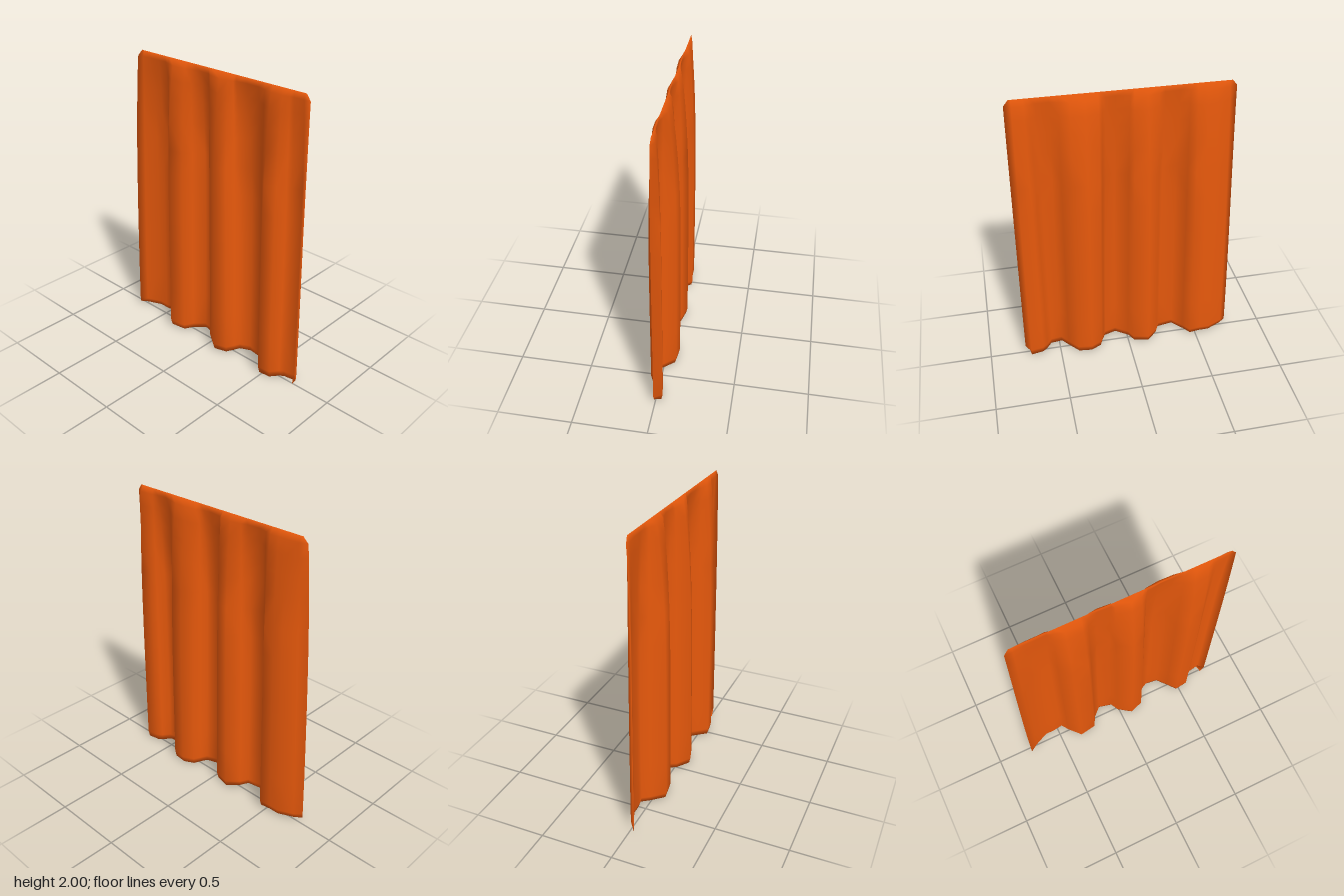
import * as THREE from 'three';
import { mergeVertices } from 'three/addons/utils/BufferGeometryUtils.js';

// Fold line across the curtain: [x at the hem, z at the hem, x at the top]
const folds = [
  [-0.75, 0.035, -0.68], [-0.70, 0, -0.63], [-0.60, -0.045, -0.55], [-0.53, -0.045, -0.49],
  [-0.46, -0.055, -0.43], [-0.42, 0, -0.39], [-0.35, 0.078, -0.33], [-0.24, 0.06, -0.23],
  [-0.21, 0, -0.19], [-0.14, -0.066, -0.12], [-0.04, -0.042, -0.04], [-0.01, 0.015, -0.02],
  [0.08, 0.078, 0.07], [0.165, 0.05, 0.13], [0.19, 0, 0.16], [0.21, -0.045, 0.18],
  [0.28, -0.08, 0.26], [0.37, -0.07, 0.35], [0.43, 0, 0.41], [0.48, 0.062, 0.47],
  [0.56, 0.052, 0.55], [0.60, 0, 0.59], [0.63, -0.022, 0.62], [0.71, -0.036, 0.69],
  [0.75, 0.01, 0.735],
];
// Heights with the depth of the folds there
const rows = [
  [0, 1], [0.05, 1], [0.3, 1], [0.6, 1], [0.9, 0.99], [1.2, 0.95], [1.4, 0.87],
  [1.6, 0.73], [1.75, 0.58], [1.87, 0.42], [1.96, 0.24], [2, 0],
];
const nx = folds.length - 1, ny = rows.length - 1;
const halfThickness = 0.01;

function centre(i, j) {
  const [x0, z, x1] = folds[i];
  const [y, depth] = rows[j];
  return new THREE.Vector3(x0 + (x1 - x0) * Math.pow(y / 2, 1.3), y, z * depth);
}

// One side of the cloth (+1 front, -1 back), pinched to nothing along the border
function point(side, i, j) {
  const p = centre(i, j);
  const border = i === 0 || j === 0 || i === nx || j === ny;
  if (!border) {
    const a = centre(i - 1, j), b = centre(i + 1, j);
    const len = Math.hypot(b.x - a.x, b.z - a.z);
    p.x -= side * halfThickness * (b.z - a.z) / len;
    p.z += side * halfThickness * (b.x - a.x) / len;
  }
  // slightly slanted hem and clipped corners
  if (j === 0) p.y = 0.008 - 0.01 * p.x;
  if (i === 0 && j === ny) p.x += 0.03;
  if (i === nx && (j === ny || j === 0)) p.x -= 0.03;
  return p;
}

function clothGeometry() {
  const positions = [], index = [];
  for (const side of [1, -1]) {
    const base = positions.length / 3;
    for (let j = 0; j <= ny; j++)
      for (let i = 0; i <= nx; i++) positions.push(...point(side, i, j).toArray());
    for (let j = 0; j < ny; j++) {
      for (let i = 0; i < nx; i++) {
        const a = base + j * (nx + 1) + i, b = a + 1, d = a + nx + 1, c = d + 1;
        // diagonals run from the corners towards the middle
        const tris = (i < nx / 2) === (j < ny / 2)
          ? [a, b, c, a, c, d] : [a, b, d, b, c, d];
        index.push(...(side > 0 ? tris : tris.reverse()));
      }
    }
  }
  let geometry = new THREE.BufferGeometry();
  geometry.setAttribute('position', new THREE.Float32BufferAttribute(positions, 3));
  geometry.setIndex(index);
  geometry = mergeVertices(geometry, 1e-4); // join front and back along the border
  geometry.computeVertexNormals();
  return geometry;
}

export function createModel() {
  const group = new THREE.Group();
  group.name = 'curtain';
  const orangeCloth = new THREE.MeshStandardMaterial({ color: 0xe8590c });
  orangeCloth.name = 'orangeCloth';
  const cloth = new THREE.Mesh(clothGeometry(), orangeCloth);
  cloth.name = 'pleatedCloth';
  group.add(cloth);
  return group;
}
